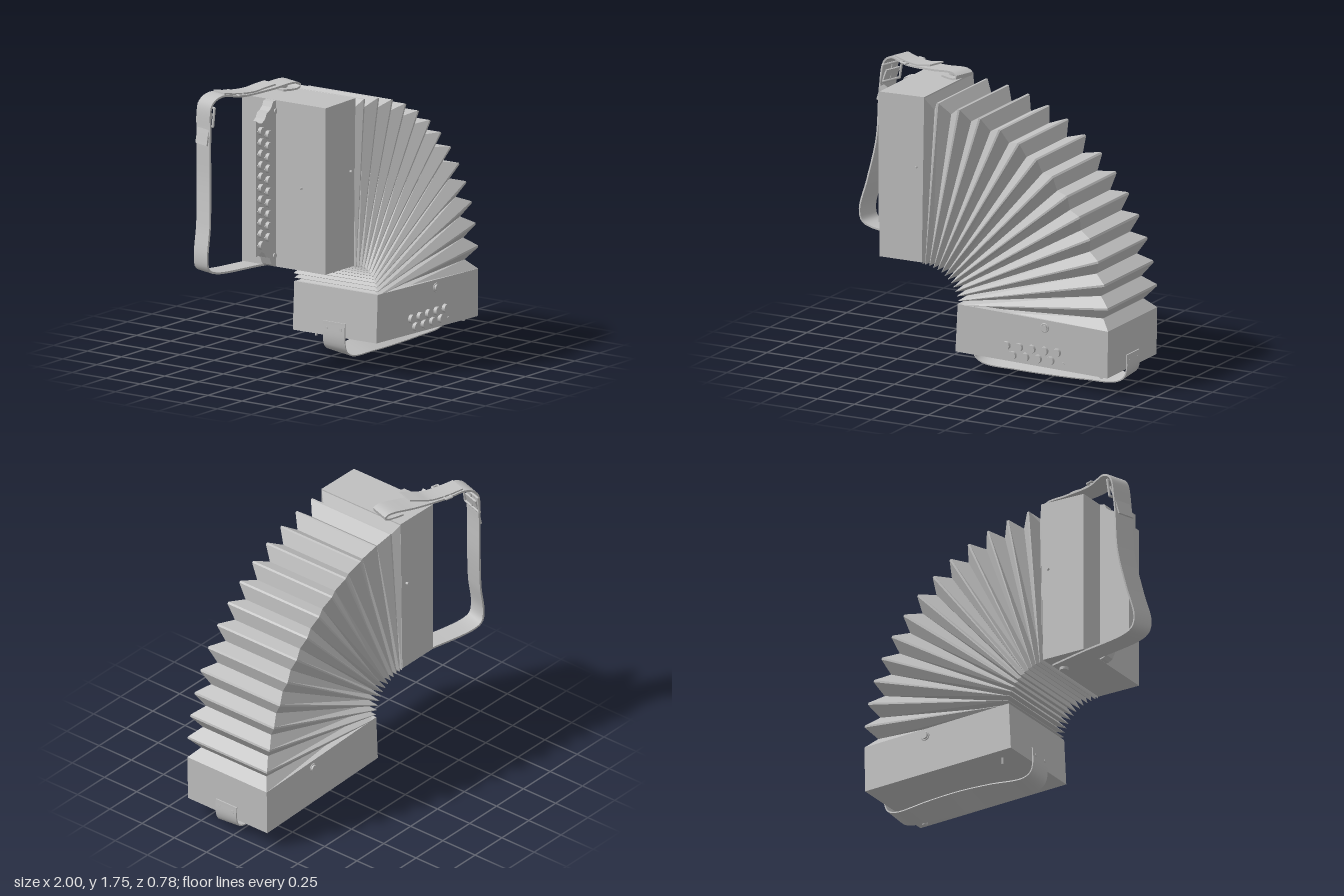
import * as THREE from 'three';
import { toCreasedNormals } from 'three/addons/utils/BufferGeometryUtils.js';

const V = (x, y, z) => new THREE.Vector3(x, y, z);
const BACK = -0.25, FRONT = 0.365;

// Skin a row of four-cornered rings into a closed solid facing outward
function loft(rings, crease) {
  const pos = [];
  const quad = (a, b, c, d) => [a, b, c, a, c, d].forEach(p => pos.push(p.x, p.y, p.z));
  for (let i = 0; i < rings.length - 1; i++) {
    const p = rings[i], q = rings[i + 1];
    for (let j = 0; j < 4; j++) {
      const k = (j + 1) % 4;
      quad(p[j], p[k], q[k], q[j]);
    }
  }
  const s = rings[0], e = rings[rings.length - 1];
  quad(s[3], s[2], s[1], s[0]);
  quad(e[0], e[1], e[2], e[3]);
  // The sign of the volume tells whether the winding must be turned over
  let volume = 0;
  const at = i => V(pos[i], pos[i + 1], pos[i + 2]);
  for (let i = 0; i < pos.length; i += 9) volume += at(i).dot(at(i + 3).cross(at(i + 6)));
  if (volume < 0) {
    for (let i = 0; i < pos.length; i += 9) {
      for (let c = 3; c < 6; c++) [pos[i + c], pos[i + c + 3]] = [pos[i + c + 3], pos[i + c]];
    }
  }
  const g = new THREE.BufferGeometry();
  g.setAttribute('position', new THREE.Float32BufferAttribute(pos, 3));
  g.computeVertexNormals();
  return crease ? toCreasedNormals(g, crease) : g;
}

// Flat strap along a path; halfWidth(t) gives the vector from centre to edge
function strapGeometry(points, halfWidth, thickness, steps) {
  const curve = new THREE.CatmullRomCurve3(points.map(p => V(...p)), false, 'centripetal');
  const rings = [];
  for (let i = 0; i <= steps; i++) {
    const t = i / steps, c = curve.getPointAt(t), w = halfWidth(t);
    const n = curve.getTangentAt(t).cross(w).normalize().multiplyScalar(thickness / 2);
    rings.push([
      c.clone().add(w).add(n), c.clone().sub(w).add(n),
      c.clone().sub(w).sub(n), c.clone().add(w).sub(n),
    ]);
  }
  return loft(rings, 0.7);
}

// Plate with an outline in x and y, lying between two depths
function slab(points, z0, z1) {
  const shape = new THREE.Shape(points.map(p => new THREE.Vector2(...p)));
  const g = new THREE.ExtrudeGeometry(shape, { depth: z1 - z0, bevelEnabled: false });
  return g.translate(0, 0, z0);
}

export function createModel() {
  const model = new THREE.Group();
  const grey = new THREE.MeshStandardMaterial({ color: 0xc0c0c0 });
  grey.name = 'plain grey';
  const add = (name, geometry) => {
    const mesh = new THREE.Mesh(geometry, grey);
    mesh.name = name;
    model.add(mesh);
    return mesh;
  };
  // Round stud along z, x or y
  const stud = (name, x, y, z, r, length, axis = 'z') => {
    const mesh = add(name, new THREE.CylinderGeometry(r, r, length, 20));
    if (axis === 'z') mesh.rotation.x = Math.PI / 2;
    if (axis === 'x') mesh.rotation.z = Math.PI / 2;
    mesh.position.set(x, y, z);
    return mesh;
  };

  // Two end boxes
  add('trebleBox', slab([[-0.56, 0.66], [-0.273, 0.66], [-0.257, 1.685], [-0.56, 1.68]], BACK, FRONT));
  add('bassBox', slab([[-0.045, 0.14], [0.985, 0.11], [0.99, 0.4], [-0.03, 0.435]], BACK, FRONT));

  // Fanned bellows: ridges and valleys swung about one pivot
  const ring = (deg, inset, rOut = 1.265) => {
    const a = THREE.MathUtils.degToRad(deg);
    const at = (r, z) => V(-0.27 + r * Math.cos(a), 0.4 + r * Math.sin(a), z);
    const r0 = 0.25 + inset * 0.6, r1 = rOut - inset * 1.2;
    const z0 = BACK + inset, z1 = FRONT - inset;
    return [at(r0, z0), at(r1, z0), at(r1, z1), at(r0, z1)];
  };
  const folds = 13, first = 85.3, step = 6.59, depth = 0.055;
  const rings = [ring(89.5, 0, 1.28), ring(87.4, depth)];
  for (let i = 0; i < folds; i++) {
    const a = first - i * step;
    rings.push(ring(a + 0.3, 0), ring(a - 0.3, 0), ring(a - step / 2, depth));
  }
  rings.push(ring(0, 0, 1.26));
  add('bellows', loft(rings));

  // Fingerboard with scalloped ends
  add('fingerboard', slab([
    [-0.765, 0.755], [-0.74, 0.76], [-0.71, 0.775], [-0.68, 0.765], [-0.66, 0.735], [-0.625, 0.725],
    [-0.605, 0.68], [-0.58, 0.665], [-0.555, 0.66], [-0.555, 1.68], [-0.59, 1.675], [-0.605, 1.645],
    [-0.63, 1.625], [-0.655, 1.615], [-0.67, 1.585], [-0.7, 1.565], [-0.735, 1.57], [-0.765, 1.59],
  ], -0.07, 0));
  for (const [x, top, count] of [[-0.72, 1.522, 11], [-0.648, 1.487, 10]]) {
    for (let i = 0; i < count; i++) {
      const y = top - i * 0.07;
      stud('trebleButton', x, y, 0.008, 0.025, 0.03);
      stud('trebleButtonPin', x - 0.029, y, 0.002, 0.006, 0.008);
    }
  }
  for (const [x, y] of [[-0.567, 1.615], [-0.577, 0.73]]) stud('fingerboardScrew', x, y, 0.002, 0.015, 0.012);

  // Bass buttons in two staggered rows
  for (const [x, y, count] of [[0.303, 0.225, 5], [0.345, 0.17, 4]]) {
    for (let i = 0; i < count; i++) stud('bassButton', x + i * 0.0855, y, 0.372, 0.026, 0.03);
  }
  stud('bassScrew', 0.685, 0.16, 0.366, 0.008, 0.008);

  // Knobs repeated on front and back
  for (const z of [FRONT, BACK]) {
    stud('airKnob', 0.56, 0.367, z, 0.02, 0.03);
    const rim = add('airKnobRim', new THREE.TorusGeometry(0.024, 0.005, 8, 24));
    rim.position.set(0.56, 0.367, z);
    stud('boxKnob', -0.31, 1.245, z, 0.008, 0.03);
  }
  stud('bottomPeg', 0.07, 0.12, -0.16, 0.007, 0.05, 'y');
  stud('sidePin', -0.565, 1.165, 0.19, 0.006, 0.03, 'x');
  stud('cornerPin', 0.915, 0.1, 0.3, 0.014, 0.03);

  // Hand strap below the bass box, tilted in its middle
  add('handStrap', strapGeometry([
    [-0.05, 0.23, 0.06], [-0.052, 0.12, 0.06], [-0.035, 0.065, 0.06], [0.02, 0.034, 0.06],
    [0.25, 0.037, 0.06], [0.47, 0.04, 0.06], [0.7, 0.037, 0.06], [0.91, 0.034, 0.06],
    [0.97, 0.06, 0.06], [0.992, 0.11, 0.06], [0.992, 0.2, 0.06],
  ], t => V(0, -0.032 * Math.sin(Math.PI * t) ** 1.5, 0.08), 0.008, 64));
  for (const [x, y] of [[-0.056, 0.19], [0.995, 0.16]]) {
    for (const z of [0.01, 0.11]) stud('handStrapRivet', x, y, z, 0.009, 0.008, 'x');
  }

  // Shoulder strap from the top of the treble box round to its bottom
  const across = V(0.3, 0, -0.95).normalize().multiplyScalar(0.066);
  add('shoulderStrap', strapGeometry([
    [-0.36, 1.692, -0.14], [-0.26, 1.692, -0.105], [-0.235, 1.708, -0.1], [-0.265, 1.727, -0.11],
    [-0.45, 1.71, -0.17], [-0.65, 1.7, -0.23], [-0.78, 1.715, -0.285], [-0.845, 1.67, -0.31],
    [-0.87, 1.5, -0.305], [-0.885, 1.2, -0.295], [-0.93, 0.95, -0.265], [-0.975, 0.76, -0.25],
    [-0.96, 0.69, -0.25], [-0.9, 0.663, -0.24], [-0.56, 0.655, -0.17], [-0.31, 0.652, -0.11],
  ], () => across, 0.012, 120));
  add('strapTail', strapGeometry([
    [-0.76, 1.728, -0.275], [-0.66, 1.715, -0.235], [-0.56, 1.715, -0.195], [-0.5, 1.73, -0.165], [-0.44, 1.745, -0.13],
  ], () => across.clone().multiplyScalar(0.85), 0.01, 24));
  add('strapLowerTail', strapGeometry([
    [-0.835, 1.62, -0.312], [-0.86, 1.55, -0.31], [-0.895, 1.43, -0.305],
  ], () => across.clone().multiplyScalar(0.85), 0.01, 14));

  // Rectangular buckles and keepers lying across the strap
  const frame = (name, centre, along, length, bar) => {
    const u = across.clone().multiplyScalar(1.2);
    const v = V(...along).normalize().multiplyScalar(length / 2);
    const c = V(...centre);
    const corner = (a, b) => c.clone().addScaledVector(u, a).addScaledVector(v, b);
    const corners = [corner(1, 1), corner(-1, 1), corner(-1, -1), corner(1, -1)];
    corners.forEach((p, i) => {
      const path = new THREE.LineCurve3(p, corners[(i + 1) % 4]);
      add(name, new THREE.TubeGeometry(path, 1, bar, 8));
      const joint = add(name + 'Corner', new THREE.SphereGeometry(bar, 8, 6));
      joint.position.copy(p);
    });
    add(name + 'Prong', new THREE.TubeGeometry(new THREE.LineCurve3(corner(0, 1), corner(0, -1)), 1, bar * 0.7, 8));
  };
  frame('buckle', [-0.845, 1.6, -0.31], [-0.15, -1, 0], 0.11, 0.008);
  frame('keeper', [-0.66, 1.71, -0.235], [-0.95, 0.05, -0.3], 0.04, 0.007);

  // Round anchors holding the strap ends
  stud('topAnchor', -0.32, 1.693, -0.13, 0.032, 0.03, 'y');
  stud('bottomAnchor', -0.335, 0.645, -0.115, 0.026, 0.035, 'y');

  return model;
}
